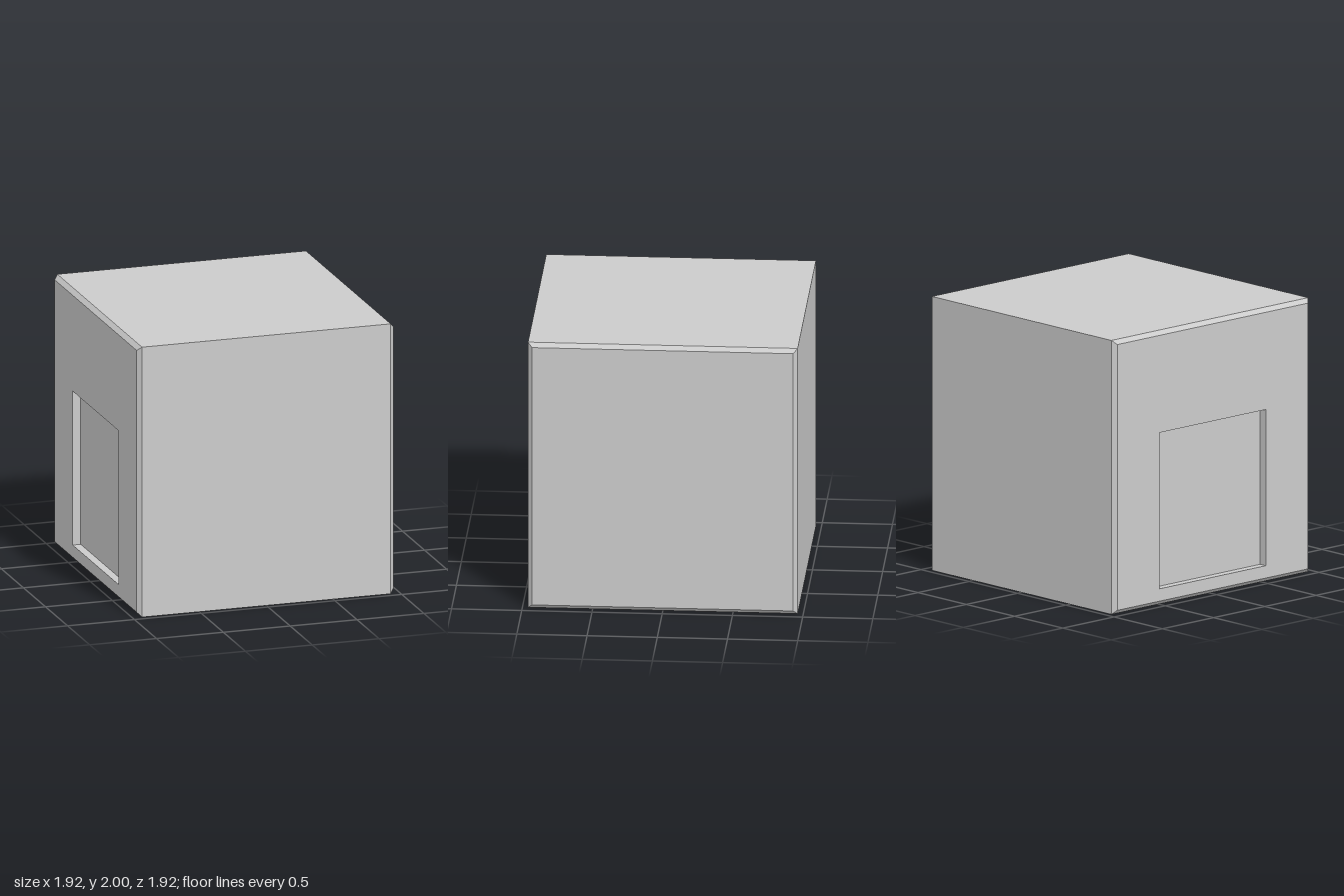
import * as THREE from 'three';

const HALF = 0.96, HEIGHT = 2, BEVEL = 0.03, DEPTH = 0.06;

// Rectangle across the x axis: four corners at a given x
const ring = (x, halfZ, y0, y1) => [
  [x, y0, halfZ], [x, y0, -halfZ], [x, y1, -halfZ], [x, y1, halfZ],
];

// Joins rings with flat quads, optionally closing the first and last one
function loft(rings, capStart, capEnd) {
  const pos = [];
  const quad = (a, b, c, d) => pos.push(...a, ...b, ...c, ...a, ...c, ...d);
  for (let i = 0; i < rings.length - 1; i++) {
    const a = rings[i], b = rings[i + 1];
    for (let k = 0; k < 4; k++) {
      const n = (k + 1) % 4;
      quad(a[k], a[n], b[n], b[k]);
    }
  }
  if (capStart) quad(...[...rings[0]].reverse());
  if (capEnd) quad(...rings[rings.length - 1]);
  const geometry = new THREE.BufferGeometry();
  geometry.setAttribute('position', new THREE.Float32BufferAttribute(pos, 3));
  geometry.computeVertexNormals();
  return geometry;
}

export function createModel() {
  const group = new THREE.Group();
  group.name = 'block';
  const material = new THREE.MeshStandardMaterial({ color: 0xcccccc, flatShading: true });
  const add = (name, geometry) => {
    const mesh = new THREE.Mesh(geometry, material);
    mesh.name = name;
    group.add(mesh);
  };

  const opening = (x) => ring(x, 0.52, 0.12, 1.26);
  const face = (x) => ring(x, HALF - BEVEL, BEVEL, HEIGHT - BEVEL);
  const full = (x) => ring(x, HALF, 0, HEIGHT);

  // Body with bevelled side faces, open where the recess sits
  add('body', loft([
    opening(-HALF), face(-HALF), full(-HALF + BEVEL),
    full(HALF - BEVEL), face(HALF),
  ], false, true));

  // Shallow rectangular recess in the right-hand (-x) face
  add('recess', loft([opening(-HALF + DEPTH), opening(-HALF)], true, false));

  return group;
}
